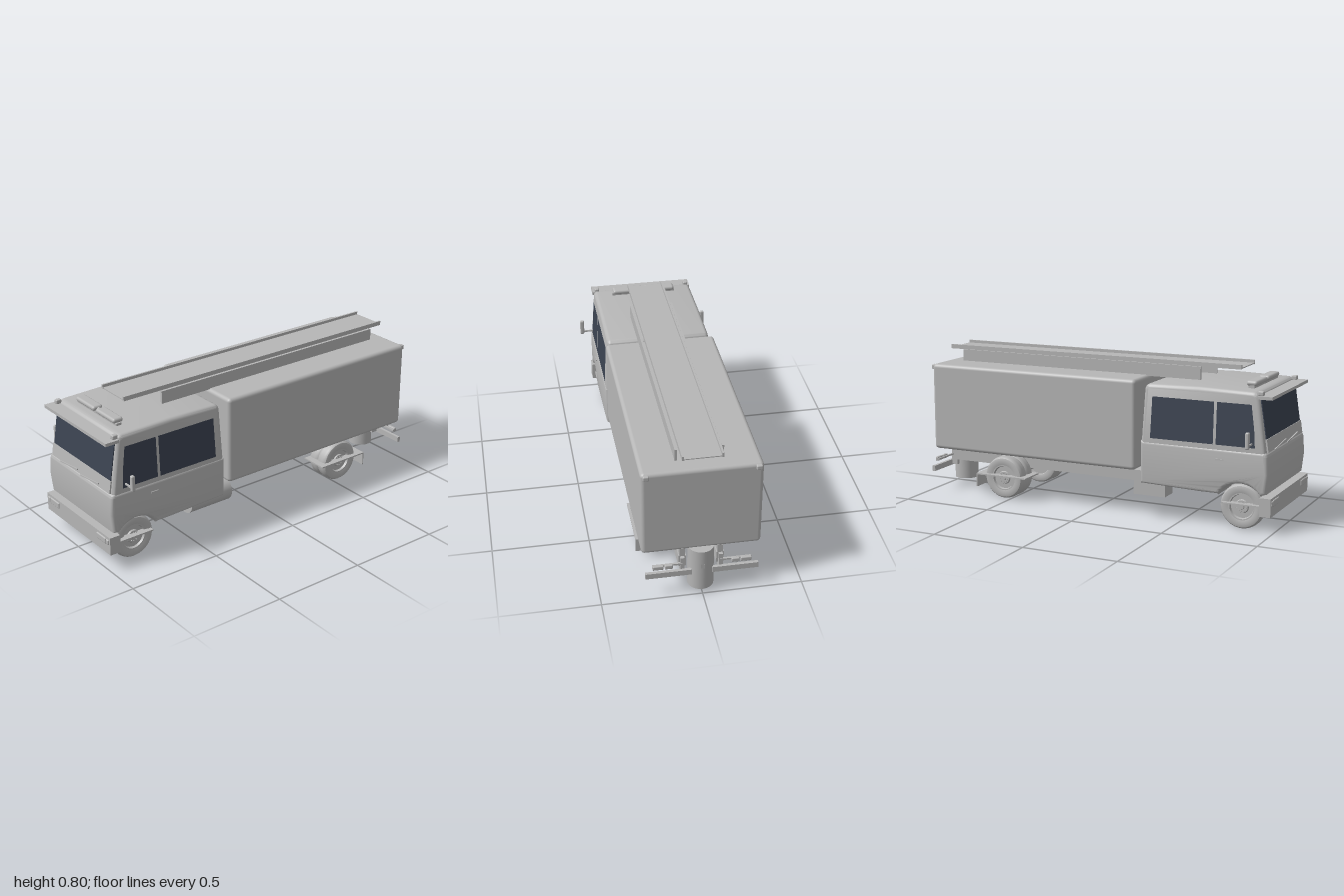
import * as THREE from 'three';
import { toCreasedNormals } from 'three/addons/utils/BufferGeometryUtils.js';
import { RoundedBoxGeometry } from 'three/addons/geometries/RoundedBoxGeometry.js';

const paint = new THREE.MeshStandardMaterial({ color: 0xb6b6b6 });
paint.name = 'grey paint';
const thinPaint = paint;
const glass = new THREE.MeshStandardMaterial({ color: 0x3b4351, side: THREE.DoubleSide });
glass.name = 'dark glass';

export function createModel() {
  const truck = new THREE.Group();
  truck.name = 'fireTruck';

  const add = (name, geo, x = 0, y = 0, z = 0, mat = paint) => {
    const m = new THREE.Mesh(geo, mat);
    m.name = name;
    m.position.set(x, y, z);
    truck.add(m);
    return m;
  };
  // box given by its limits on each axis
  const box = (name, x0, x1, y0, y1, z0, z1, r = 0) => {
    const s = [x1 - x0, y1 - y0, z1 - z0];
    const geo = r ? new RoundedBoxGeometry(...s, 3, r) : new THREE.BoxGeometry(...s);
    return add(name, geo, (x0 + x1) / 2, (y0 + y1) / 2, (z0 + z1) / 2);
  };
  // the same box on both sides
  const pair = (name, x0, x1, ...rest) => {
    box(name + 'Left', x0, x1, ...rest);
    box(name + 'Right', -x1, -x0, ...rest);
  };
  // extrude a (z, y) side outline across x with rounded side edges
  const sideExtrude = (shape, half, bevel) => {
    const g = new THREE.ExtrudeGeometry(shape, {
      depth: 2 * (half - bevel), bevelThickness: bevel, bevelSize: bevel,
      bevelOffset: -bevel, bevelSegments: 4, curveSegments: 14,
    });
    g.translate(0, 0, -(half - bevel));
    g.rotateY(-Math.PI / 2);
    return g;
  };

  // Equipment body
  box('equipmentBody', -0.295, 0.295, 0.25, 0.72, -0.955, 0.26, 0.02);
  pair('bodyCornerLight', 0.255, 0.285, 0.69, 0.715, -0.967, -0.945, 0.006);

  // Lower cab with open wheel arch
  const lower = new THREE.Shape();
  lower.moveTo(0.29, 0.19);
  lower.lineTo(0.62, 0.18);
  lower.lineTo(0.71, 0.18);
  lower.absarc(0.83, 0.11, 0.133, Math.PI * 0.84, Math.PI * 0.21, true);
  lower.lineTo(0.965, 0.2);
  lower.lineTo(0.976, 0.3);
  lower.lineTo(0.97, 0.385);
  lower.quadraticCurveTo(0.968, 0.41, 0.945, 0.412);
  lower.lineTo(0.29, 0.412);
  lower.closePath();
  add('lowerCab', toCreasedNormals(sideExtrude(lower, 0.297, 0.018), 0.6));

  // Upper cab, leaning inward toward the roof
  const halfWidth = (y) => 0.295 - (y - 0.37) * 0.05;
  const screenZ = (y) => 0.959 - (y - 0.41) * 0.155;
  const upper = new THREE.Shape();
  upper.moveTo(0.29, 0.36);
  upper.lineTo(screenZ(0.36), 0.36);
  upper.lineTo(screenZ(0.675), 0.675);
  upper.quadraticCurveTo(0.912, 0.703, 0.88, 0.704);
  upper.lineTo(0.6, 0.71);
  upper.lineTo(0.335, 0.704);
  upper.quadraticCurveTo(0.308, 0.702, 0.305, 0.675);
  upper.closePath();
  const upperGeo = sideExtrude(upper, 1, 0.02);
  const p = upperGeo.attributes.position;
  for (let i = 0; i < p.count; i++) {
    const x = p.getX(i);
    p.setX(i, Math.sign(x) * (Math.abs(x) - 1 + halfWidth(p.getY(i))));
  }
  upperGeo.computeVertexNormals();
  add('upperCab', toCreasedNormals(upperGeo, 0.6));

  // Side windows follow the lean of the cab
  const windows = {
    frontSideWindow: [[0.70, 0.43], [0.905, 0.43], [0.898, 0.52], [0.88, 0.643], [0.70, 0.643]],
    rearSideWindow: [[0.345, 0.43], [0.685, 0.43], [0.685, 0.643], [0.352, 0.643]],
  };
  for (const [name, pts] of Object.entries(windows)) {
    for (const s of [1, -1]) {
      const g = new THREE.ShapeGeometry(new THREE.Shape(pts.map((q) => new THREE.Vector2(...q))));
      g.rotateY(-Math.PI / 2);
      const a = g.attributes.position;
      for (let i = 0; i < a.count; i++) a.setX(i, s * (halfWidth(a.getY(i)) + 0.003));
      g.computeVertexNormals();
      add(name, g, 0, 0, 0, glass);
    }
  }

  // Windscreen and cowl lie on the sloping front
  const slope = Math.atan(0.155);
  const onSlope = (name, w, y0, y1, t, mat) => {
    const y = (y0 + y1) / 2;
    const m = add(name, new THREE.BoxGeometry(w, (y1 - y0) / Math.cos(slope), t), 0, y, screenZ(y), mat);
    m.rotation.x = -slope;
    return m;
  };
  onSlope('windscreen', 0.528, 0.472, 0.672, 0.009, glass);
  onSlope('cowl', 0.54, 0.408, 0.473, 0.016, thinPaint);
  for (const x of [-0.098, 0.095]) {
    const wiper = add('wiper', new THREE.BoxGeometry(0.165, 0.006, 0.006), x, 0.418, 0.97);
    wiper.rotation.z = 0.12;
  }

  // Visor, markers and roof beacon
  box('sunVisor', -0.285, 0.285, 0.672, 0.688, 0.91, 0.985);
  pair('roofMarker', 0.247, 0.272, 0.686, 0.71, 0.905, 0.935, 0.006);
  box('beaconBase', -0.18, 0.18, 0.7, 0.717, 0.825, 0.855);
  pair('beacon', 0.008, 0.175, 0.715, 0.74, 0.81, 0.867, 0.012);
  add('beaconCentre', new THREE.SphereGeometry(0.009, 16, 10), 0, 0.727, 0.84);

  // Mirrors and door handles
  pair('mirrorArm', 0.27, 0.335, 0.446, 0.454, 0.884, 0.892);
  pair('mirror', 0.345, 0.368, 0.435, 0.52, 0.878, 0.898, 0.007);
  pair('mirrorBracket', 0.33, 0.352, 0.446, 0.454, 0.884, 0.892);
  pair('doorHandle', 0.292, 0.301, 0.352, 0.36, 0.7, 0.745);

  // Front bumper with lamps
  box('frontBumper', -0.3, 0.3, 0.09, 0.185, 0.935, 0.994);
  pair('headlamp', 0.18, 0.265, 0.14, 0.173, 0.98, 1.0, 0.006);
  pair('indicator', 0.266, 0.289, 0.143, 0.171, 0.98, 1.0, 0.006);

  // Roof ladder: board, raised edges and carrier bars
  box('ladderBoard', -0.1, 0.1, 0.783, 0.788, -0.955, 0.757);
  pair('ladderEdge', 0.09, 0.1, 0.78, 0.803, -0.955, 0.757);
  pair('ladderCarrier', 0.107, 0.118, 0.715, 0.782, -0.865, 0.545);

  // Chassis
  pair('chassisRail', 0.075, 0.112, 0.15, 0.212, -0.95, 0.94);
  for (const z of [-0.8, -0.3, 0.1, 0.55, 0.72]) {
    box('crossMember', -0.08, 0.08, 0.16, 0.2, z - 0.02, z + 0.02);
  }
  pair('bodyMount', 0.08, 0.108, 0.205, 0.255, -0.95, 0.24);
  const tank = new THREE.CylinderGeometry(0.066, 0.066, 0.255, 32);
  tank.rotateX(Math.PI / 2);
  add('airTank', tank, 0.212, 0.187, 0.357);
  box('batteryBox', -0.272, -0.172, 0.122, 0.25, 0.245, 0.42);

  // Rear pump drum, bumper bar and lamps
  add('rearDrum', new THREE.CylinderGeometry(0.065, 0.065, 0.23, 36), 0, 0.145, -0.935);
  box('drumLamp', -0.01, 0.01, 0.16, 0.185, -1.0, -0.985);
  pair('rearBar', 0.05, 0.28, 0.115, 0.145, -0.982, -0.965);
  pair('rearBarBracket', 0.085, 0.105, 0.12, 0.21, -0.967, -0.93);
  pair('rearLampOuter', 0.19, 0.245, 0.165, 0.188, -0.985, -0.967, 0.005);
  pair('rearLampInner', 0.145, 0.185, 0.165, 0.188, -0.985, -0.967, 0.005);
  pair('rearLampPlate', 0.09, 0.245, 0.172, 0.181, -0.969, -0.958);

  // Wheels: tyre, dished rim, hub and bolts, axle along x
  const lathe = (pts, n = 40) => {
    const g = new THREE.LatheGeometry(pts.map((q) => new THREE.Vector2(...q)), n);
    g.rotateZ(-Math.PI / 2);
    return toCreasedNormals(g, 0.6);
  };
  const tyreGeo = lathe([[0, -0.02], [0.066, -0.02], [0.07, -0.03], [0.09, -0.035], [0.106, -0.031],
    [0.113, -0.022], [0.115, -0.01], [0.115, 0.01], [0.113, 0.022], [0.106, 0.031], [0.09, 0.035], [0.07, 0.03]]);
  const rimGeo = lathe([[0.07, 0.03], [0.064, 0.03], [0.06, 0.018], [0.036, 0.018], [0.032, 0.026],
    [0.014, 0.026], [0.012, 0.031], [0, 0.031]]);
  const boltGeo = new THREE.CylinderGeometry(0.0028, 0.0028, 0.008, 6);
  boltGeo.rotateZ(Math.PI / 2);
  const wheel = (name, x, z, side) => {
    const g = new THREE.Group();
    g.name = name;
    const part = (n, geo) => {
      const m = new THREE.Mesh(geo, paint);
      m.name = n;
      g.add(m);
      return m;
    };
    part('tyre', tyreGeo);
    part('rim', rimGeo);
    for (let i = 0; i < 10; i++) {
      const a = (i / 10) * Math.PI * 2;
      part('bolt', boltGeo).position.set(0.028, 0.024 * Math.cos(a), 0.024 * Math.sin(a));
    }
    g.position.set(side * x, 0.118, z);
    if (side < 0) g.rotation.y = Math.PI;
    truck.add(g);
  };
  for (const s of [1, -1]) {
    wheel('frontWheel', 0.227, 0.828, s);
    wheel('rearOuterWheel', 0.227, -0.54, s);
    wheel('rearInnerWheel', 0.166, -0.54, s);
  }
  const axleGeo = new THREE.CylinderGeometry(0.018, 0.018, 0.42, 20);
  axleGeo.rotateZ(Math.PI / 2);
  add('frontAxle', axleGeo, 0, 0.118, 0.828);
  add('rearAxle', axleGeo, 0, 0.118, -0.54);

  // Flat mudguards, the rear ones with hanging flaps
  pair('frontMudguard', 0.19, 0.285, 0.131, 0.138, 0.73, 0.93);
  pair('rearMudguard', 0.135, 0.285, 0.127, 0.134, -0.695, -0.39);
  pair('mudFlap', 0.135, 0.285, 0.06, 0.13, -0.695, -0.689);

  return truck;
}
